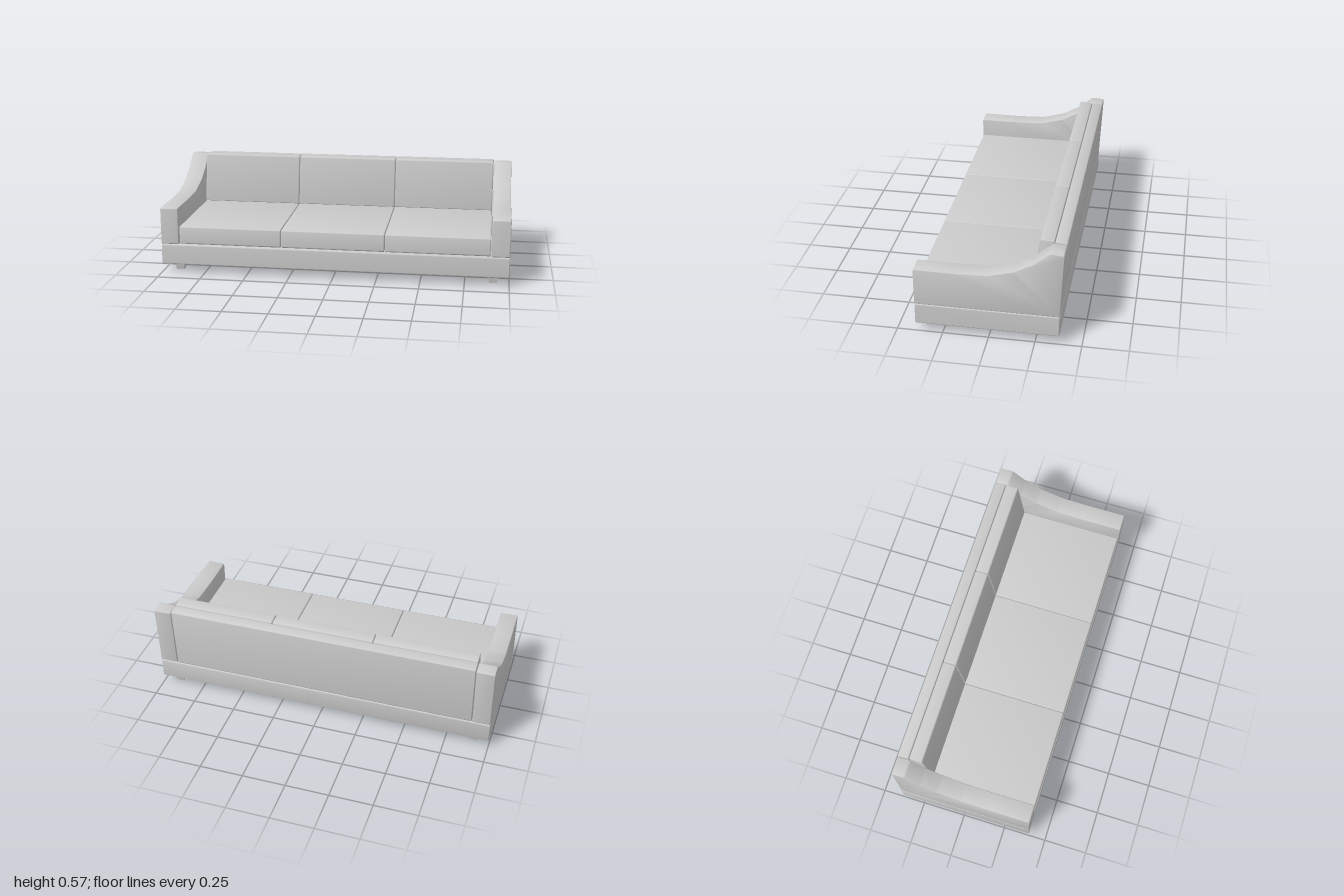
import * as THREE from 'three';
import { toCreasedNormals } from 'three/addons/utils/BufferGeometryUtils.js';

const grey = new THREE.MeshStandardMaterial({ color: 0xcccccc });

// Outline through [z, y] corners, each corner rounded by r
function roundedShape(corners, r) {
  const pts = corners.map(([z, y]) => new THREE.Vector2(z, y));
  const shape = new THREE.Shape();
  pts.forEach((p, i) => {
    const prev = pts[(i + pts.length - 1) % pts.length];
    const next = pts[(i + 1) % pts.length];
    const a = p.clone().add(prev.clone().sub(p).setLength(r));
    const b = p.clone().add(next.clone().sub(p).setLength(r));
    if (i === 0) shape.moveTo(a.x, a.y);
    else shape.lineTo(a.x, a.y);
    shape.quadraticCurveTo(p.x, p.y, b.x, b.y);
  });
  shape.closePath();
  return shape;
}

// Upholstered block: a side profile stretched across x with soft edges
function paddedBlock(name, corners, width, x) {
  const bevel = 0.006;
  const geo = new THREE.ExtrudeGeometry(roundedShape(corners, 0.01), {
    depth: width - 2 * bevel,
    bevelThickness: bevel,
    bevelSize: bevel,
    bevelOffset: -bevel,
    bevelSegments: 5,
    curveSegments: 5,
  });
  geo.translate(0, 0, bevel - width / 2);
  geo.rotateY(-Math.PI / 2);
  const mesh = new THREE.Mesh(toCreasedNormals(geo, 0.5), grey);
  mesh.name = name;
  mesh.position.x = x;
  return mesh;
}

export function createModel() {
  const sofa = new THREE.Group();
  sofa.name = 'sofa';

  // Plinth under the whole seat
  sofa.add(paddedBlock('base', [[0.4, 0.048], [0.4, 0.169], [-0.38, 0.169], [-0.38, 0.048]], 2, 0));

  // Swept arms, rising toward the back
  const armProfile = [
    [0.4, 0.169], [0.4, 0.385], [0.17, 0.383], [0, 0.389], [-0.14, 0.427],
    [-0.24, 0.483], [-0.325, 0.554], [-0.399, 0.548], [-0.38, 0.169],
  ];
  sofa.add(paddedBlock('leftArm', armProfile, 0.104, 0.948));
  sofa.add(paddedBlock('rightArm', armProfile, 0.104, -0.948));

  // Leaning back panel
  const backProfile = [[-0.31, 0.169], [-0.335, 0.562], [-0.4, 0.555], [-0.38, 0.169]];
  sofa.add(paddedBlock('backPanel', backProfile, 1.785, 0));

  // Three seat cushions with three back cushions standing on them
  const seatProfile = [[0.396, 0.172], [0.396, 0.276], [-0.31, 0.276], [-0.31, 0.172]];
  const cushionProfile = [[-0.211, 0.274], [-0.256, 0.568], [-0.333, 0.563], [-0.314, 0.274]];
  for (const x of [-0.595, 0, 0.595]) {
    sofa.add(paddedBlock('seatCushion', seatProfile, 0.592, x));
    sofa.add(paddedBlock('backCushion', cushionProfile, 0.592, x));
  }

  // Square tapered feet
  const footGeo = new THREE.CylinderGeometry(0.044, 0.03, 0.05, 4).rotateY(Math.PI / 4).toNonIndexed();
  footGeo.computeVertexNormals();
  for (const x of [-0.91, 0.91]) {
    for (const z of [-0.319, 0.319]) {
      const foot = new THREE.Mesh(footGeo, grey);
      foot.name = 'foot';
      foot.position.set(x, 0.025, z);
      sofa.add(foot);
    }
  }
  return sofa;
}
